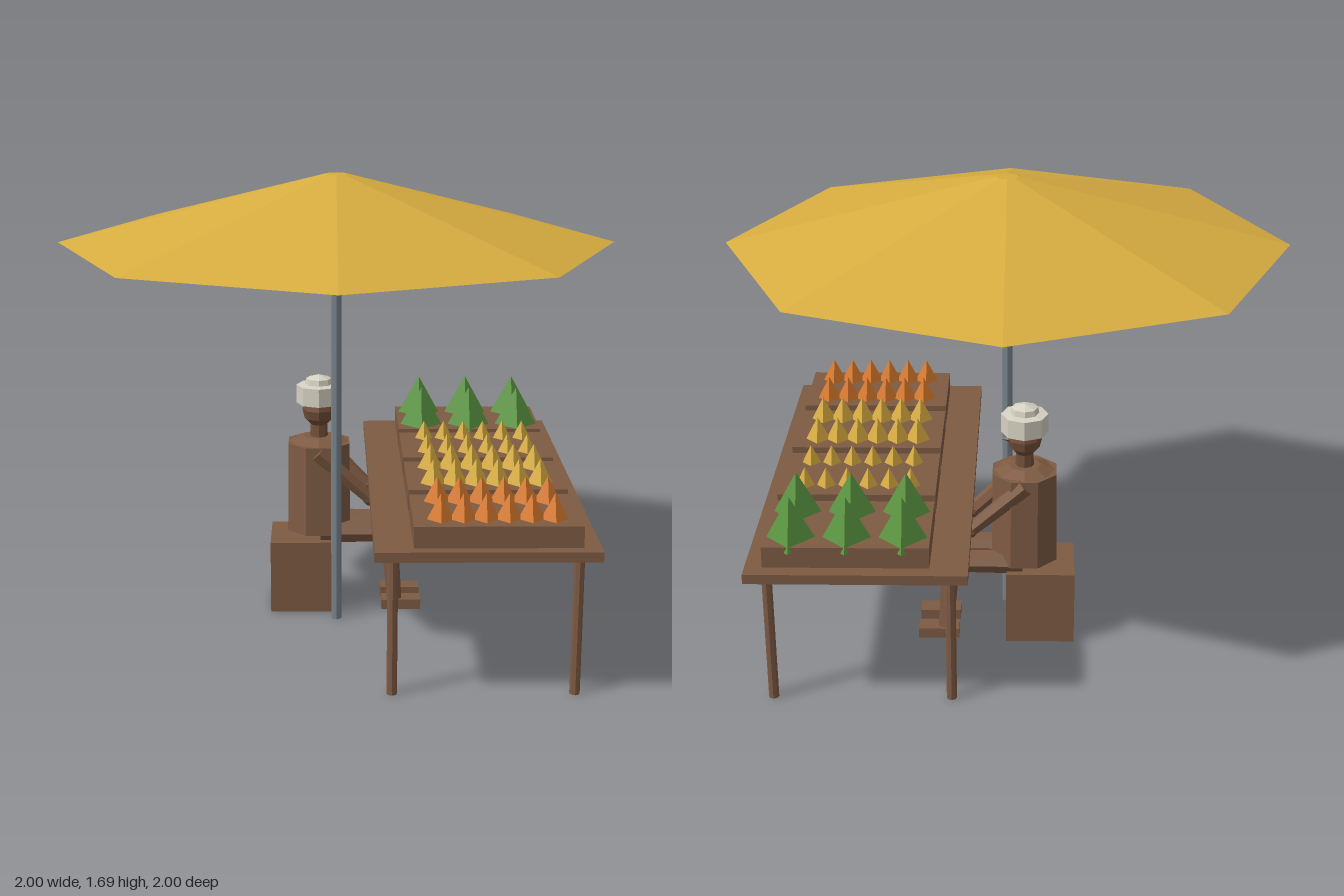
import * as THREE from 'three';

const mat = (name, color) => {
  const m = new THREE.MeshStandardMaterial({ color, flatShading: true });
  m.name = name;
  return m;
};

export function createModel() {
  const root = new THREE.Group();
  root.name = 'marketStall';
  const yellow = mat('yellow', 0xd8ad40);
  const wood = mat('woodBrown', 0x7f5b43);
  const skin = mat('skinBrown', 0x75503a);
  const steel = mat('steelGrey', 0x78828c);
  const green = mat('green', 0x5a9440);
  const orange = mat('orange', 0xd87a2c);
  const cream = mat('cream', 0xd6d2c3);

  const add = (parent, name, geo, material, x = 0, y = 0, z = 0) => {
    const m = new THREE.Mesh(geo, material);
    m.name = name;
    m.position.set(x, y, z);
    parent.add(m);
    return m;
  };
  const group = (name) => {
    const g = new THREE.Group();
    g.name = name;
    root.add(g);
    return g;
  };
  const box = (w, h, d) => new THREE.BoxGeometry(w, h, d);

  // Tapered limb running between two points
  const limb = (parent, name, a, b, r0, r1, material, sides = 6) => {
    const p = new THREE.Vector3(...a), q = new THREE.Vector3(...b);
    const dir = q.clone().sub(p);
    const mid = p.clone().add(q).multiplyScalar(0.5);
    const m = add(parent, name, new THREE.CylinderGeometry(r1, r0, dir.length(), sides), material, mid.x, mid.y, mid.z);
    m.quaternion.setFromUnitVectors(new THREE.Vector3(0, 1, 0), dir.normalize());
    return m;
  };

  // Parasol: eight-sided canopy on a pole
  const parasol = group('parasol');
  add(parasol, 'canopy', new THREE.CylinderGeometry(0.04, 1, 0.245, 8), yellow, 0, 1.5675, 0);
  add(parasol, 'pole', new THREE.CylinderGeometry(0.019, 0.019, 1.45, 8), steel, 0, 0.725, 0);

  // Table with four thin legs
  const table = group('table');
  add(table, 'tableTop', box(0.75, 0.035, 1.62), wood, 0.495, 0.5375, 0);
  for (const x of [0.185, 0.81])
    for (const z of [-0.685, 0.685])
      add(table, 'tableLeg', new THREE.CylinderGeometry(0.018, 0.018, 0.525, 8), wood, x, 0.2625, z);

  // Crates with two rows of pyramid-shaped produce each
  const crates = [
    { z: 0.597, material: orange, count: 6, r: 0.046, base: 0.63, h: 0.09 },
    { z: 0.203, material: yellow, count: 6, r: 0.046, base: 0.63, h: 0.09 },
    { z: -0.192, material: yellow, count: 6, r: 0.034, base: 0.63, h: 0.07 },
    { z: -0.586, material: green, count: 3, r: 0.093, base: 0.61, h: 0.17 },
  ];
  for (const c of crates) {
    const crate = group('produceCrate');
    add(crate, 'crate', box(0.56, 0.075, 0.345), wood, 0.53, 0.5925, c.z);
    const cone = new THREE.ConeGeometry(c.r, c.h, 4);
    for (let i = 0; i < c.count; i++)
      for (const s of [-1, 1])
        add(crate, 'produce', cone, c.material, 0.342 + (0.378 * i) / (c.count - 1), c.base + c.h / 2, c.z + s * 0.094);
  }

  // Stool
  add(root, 'stool', box(0.25, 0.28, 0.25), wood, -0.125, 0.14, -0.185);

  // Seated vendor, facing +x
  const vendor = group('vendor');
  const cx = -0.065, cz = -0.187;
  const torso = add(vendor, 'torso', new THREE.CylinderGeometry(0.125, 0.129, 0.345, 8), wood, cx, 0.4775, cz);
  torso.rotation.y = Math.PI / 8;
  add(vendor, 'collar', new THREE.CylinderGeometry(0.06, 0.11, 0.02, 8), wood, cx, 0.66, cz);
  add(vendor, 'neck', new THREE.CylinderGeometry(0.03, 0.035, 0.09, 8), skin, cx, 0.7, cz);
  const head = add(vendor, 'head', new THREE.SphereGeometry(0.063, 8, 6), skin, cx, 0.775, cz);
  head.scale.y = 1.08;
  const nose = add(vendor, 'nose', new THREE.ConeGeometry(0.014, 0.035, 4), skin, 0.003, 0.77, cz);
  nose.rotation.z = -Math.PI / 2;

  // Cap: straight band with a low crown
  const cap = [[0, 0.8], [0.085, 0.8], [0.085, 0.87], [0.052, 0.874], [0.048, 0.895], [0, 0.91]];
  add(vendor, 'cap', new THREE.LatheGeometry(cap.map(([r, y]) => new THREE.Vector2(r, y)), 8), cream, cx, 0, cz);

  // Arms and legs, mirrored about the body
  for (const s of [-1, 1]) {
    const az = cz + s * 0.08, lz = cz + s * 0.068;
    limb(vendor, 'arm', [-0.07, 0.63, az + s * 0.02], [0.125, 0.445, az], 0.036, 0.026, wood);
    add(vendor, 'hand', new THREE.SphereGeometry(0.03, 6, 5), skin, 0.13, 0.443, az);
    limb(vendor, 'thigh', [-0.06, 0.307, lz], [0.2, 0.307, lz], 0.045, 0.04, wood);
    limb(vendor, 'shin', [0.203, 0.31, lz], [0.225, 0.03, lz], 0.038, 0.032, wood);
    add(vendor, 'foot', box(0.15, 0.038, 0.07), wood, 0.25, 0.019, lz);
  }
  return root;
}
